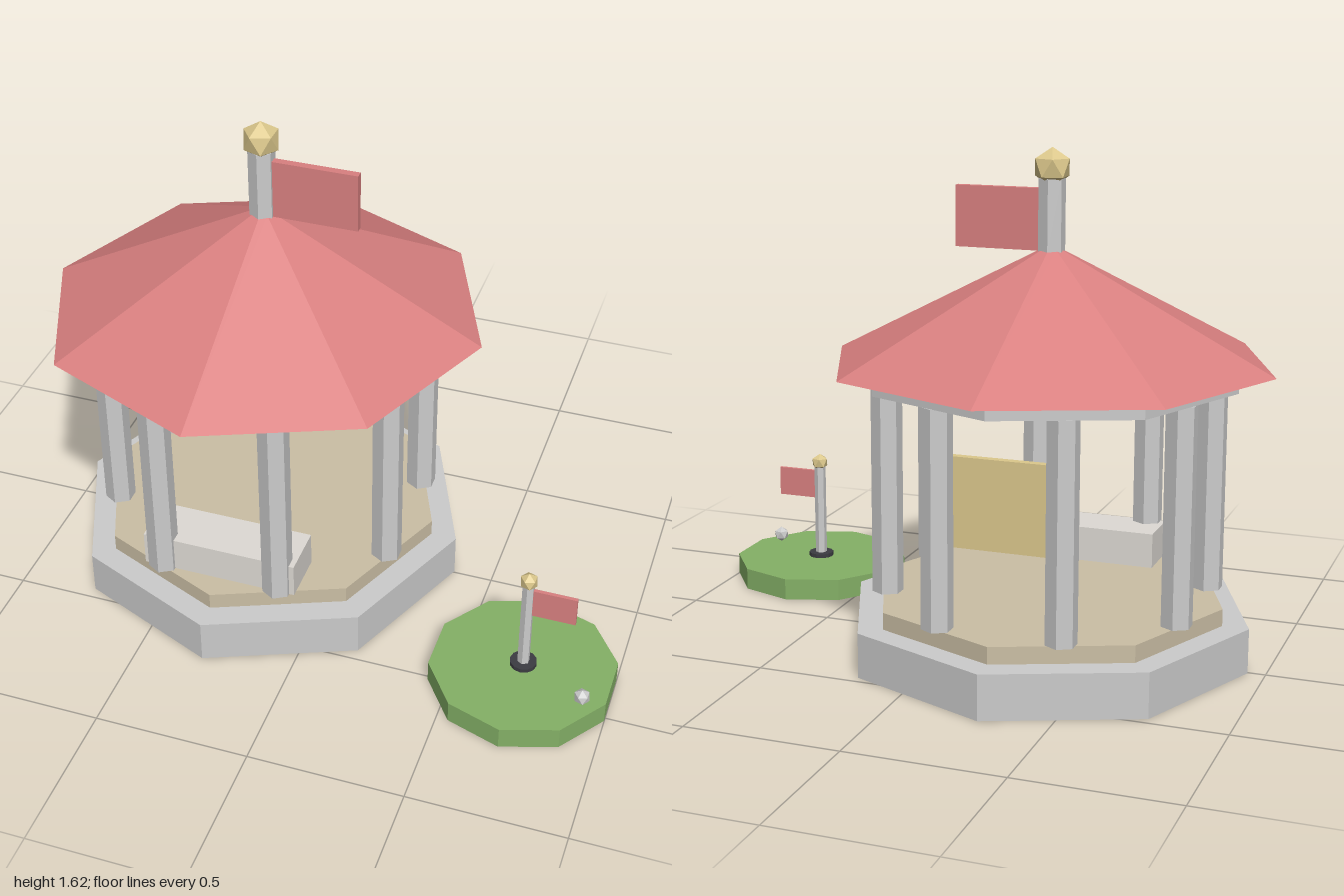
import * as THREE from 'three';

const mat = (color) => new THREE.MeshStandardMaterial({ color, flatShading: true });

export function createModel() {
  const grey = mat(0xcccccc), red = mat(0xd98080), gold = mat(0xdcc88c), green = mat(0x84b066);
  const sand = mat(0xcbbfa5), pale = mat(0xdedad4), dark = mat(0x3c3c42);

  const model = new THREE.Group();

  const add = (parent, name, geometry, material, x, y, z) => {
    const mesh = new THREE.Mesh(geometry, material);
    mesh.name = name;
    mesh.position.set(x, y, z);
    parent.add(mesh);
    return mesh;
  };
  // Upright prism between two heights
  const prism = (parent, name, sides, rBottom, rTop, y0, y1, material, x = 0, z = 0) =>
    add(parent, name, new THREE.CylinderGeometry(rTop, rBottom, y1 - y0, sides), material, x, (y0 + y1) / 2, z);
  // Box given by its limits along x, y and z
  const block = (parent, name, [x0, x1], [y0, y1], [z0, z1], material) =>
    add(parent, name, new THREE.BoxGeometry(x1 - x0, y1 - y0, z1 - z0), material,
      (x0 + x1) / 2, (y0 + y1) / 2, (z0 + z1) / 2);
  // Faceted ball standing on one of its corners
  const ball = (parent, name, r, material, x, y, z) => {
    const geometry = new THREE.IcosahedronGeometry(r, 0);
    geometry.rotateZ(Math.atan(2 / (1 + Math.sqrt(5))));
    return add(parent, name, geometry, material, x, y, z);
  };

  // Pavilion: stepped octagonal base, columns, beam and roof
  const pavilion = new THREE.Group();
  pavilion.name = 'pavilion';
  pavilion.position.set(-0.287, 0, -0.005);
  model.add(pavilion);
  prism(pavilion, 'base', 8, 0.657, 0.657, 0, 0.145, grey);
  prism(pavilion, 'floor', 8, 0.572, 0.572, 0.145, 0.2, sand);
  for (let i = 0; i < 8; i++) {
    const a = (i + 0.5) * Math.PI / 4;
    prism(pavilion, 'column', 6, 0.05, 0.05, 0.2, 0.89, grey, 0.514 * Math.sin(a), 0.514 * Math.cos(a));
  }
  prism(pavilion, 'roofBeam', 8, 0.6, 0.6, 0.89, 0.945, grey);
  prism(pavilion, 'roof', 8, 0.714, 0.03, 0.945, 1.302, red);

  // Mast, flag and finial on the roof
  prism(pavilion, 'roofMast', 6, 0.043, 0.043, 1.285, 1.52, grey);
  block(pavilion, 'roofFlag', [0.02, 0.313], [1.295, 1.488], [-0.0125, 0.0125], red);
  ball(pavilion, 'roofFinial', 0.062, gold, 0, 1.553, 0);

  // Bench at the front, hanging panel at the back
  block(pavilion, 'bench', [-0.257, 0.257], [0.2, 0.316], [0.32, 0.487], pale);
  block(pavilion, 'backPanel', [-0.205, 0.205], [0.43, 0.716], [-0.38, -0.354], gold);

  // Small green mound with a flagstick
  const mound = new THREE.Group();
  mound.name = 'mound';
  mound.position.set(0.714, 0, 0.42);
  model.add(mound);
  prism(mound, 'turf', 10, 0.3, 0.3, 0, 0.073, green);
  prism(mound, 'cup', 12, 0.043, 0.043, 0.073, 0.087, dark);
  prism(mound, 'flagstick', 6, 0.02, 0.02, 0.075, 0.405, grey);
  block(mound, 'smallFlag', [0.01, 0.155], [0.288, 0.388], [-0.006, 0.006], red);
  ball(mound, 'flagstickFinial', 0.03, gold, 0, 0.42, 0);
  ball(mound, 'groundBall', 0.027, grey, 0.212, 0.098, 0.108);

  return model;
}
